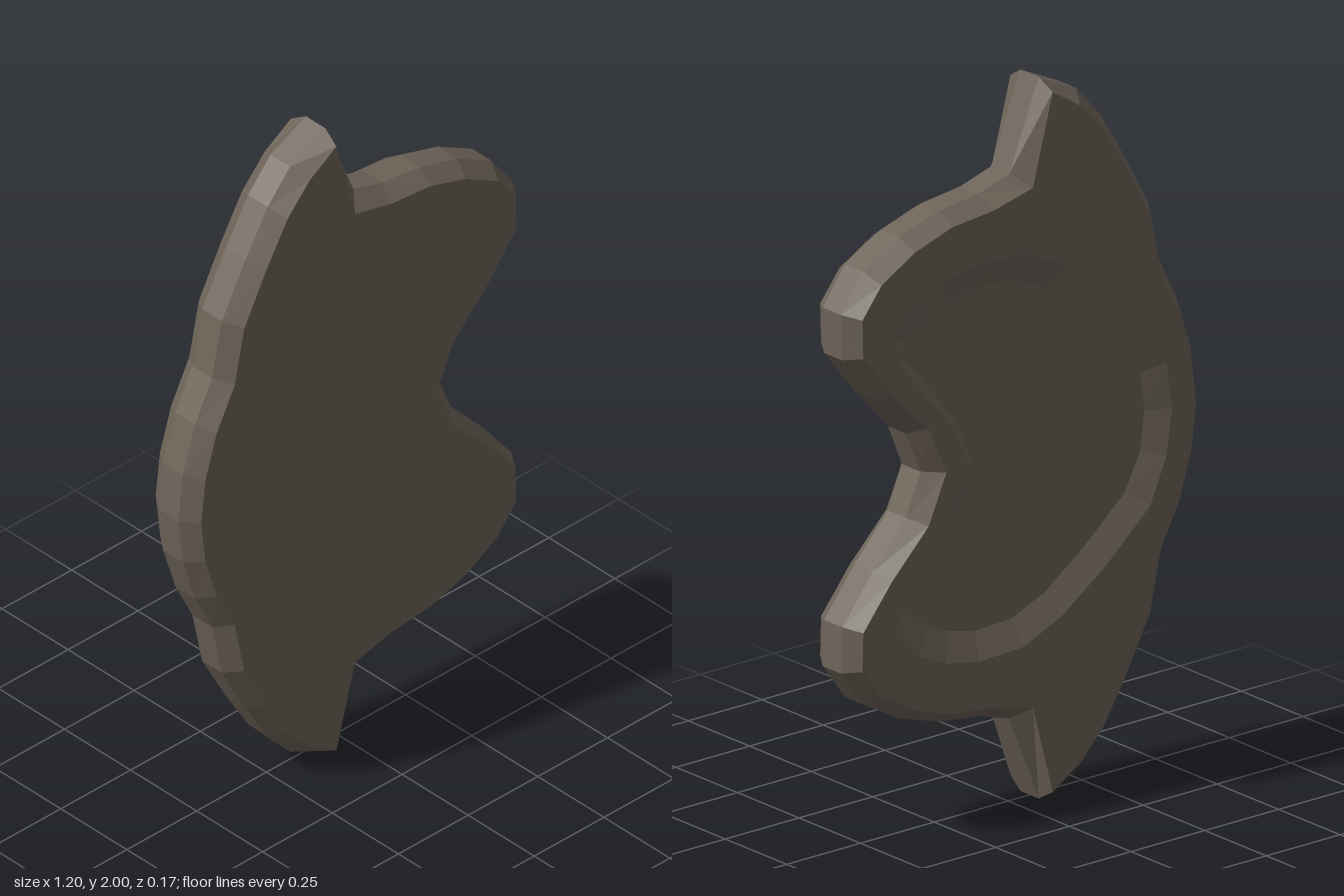
import * as THREE from 'three';

// Half outlines, from the notch (y = 1) over the top to the curved edge (y = 1)
const EDGE = [[0.328, 1], [0.376, 1.117], [0.49, 1.24], [0.592, 1.37], [0.597, 1.497], [0.522, 1.6],
  [0.4, 1.667], [0.265, 1.708], [0.13, 1.724], [0.027, 1.755], [-0.073, 2], [-0.2, 1.94],
  [-0.28, 1.85], [-0.36, 1.72], [-0.445, 1.565], [-0.48, 1.4], [-0.54, 1.28], [-0.585, 1.14], [-0.6, 1]];
const FACE = [[0.28, 1], [0.34, 1.135], [0.465, 1.26], [0.562, 1.38], [0.565, 1.487], [0.5, 1.57],
  [0.385, 1.635], [0.26, 1.675], [0.12, 1.688], [-0.013, 1.72], [-0.08, 1.97], [-0.175, 1.91],
  [-0.255, 1.825], [-0.33, 1.7], [-0.41, 1.55], [-0.445, 1.385], [-0.51, 1.26], [-0.55, 1.13], [-0.565, 1]];
const RIM = [[0.205, 1], [0.26, 1.12], [0.45, 1.35], [0.454, 1.41], [0.37, 1.49], [0.28, 1.53], [0.17, 1.55],
  [0.02, 1.545], [-0.11, 1.49], [-0.26, 1.385], [-0.41, 1.255], [-0.465, 1.13], [-0.485, 1]];
const FLOOR = [[0.17, 1], [0.22, 1.12], [0.4, 1.335], [0.385, 1.37], [0.325, 1.42], [0.25, 1.455], [0.16, 1.475],
  [0.035, 1.47], [-0.075, 1.425], [-0.215, 1.325], [-0.35, 1.21], [-0.4, 1.11], [-0.415, 1]];

// Full counter-clockwise loop: the half plus its mirror below y = 1
function loop(half) {
  const lower = half.slice(1, -1).reverse().map(([x, y]) => [x, 2 - y]);
  return [...half, ...lower].map(([x, y]) => new THREE.Vector2(x, y));
}

function toGeometry(positions) {
  const geometry = new THREE.BufferGeometry();
  geometry.setAttribute('position', new THREE.Float32BufferAttribute(positions, 3));
  geometry.computeVertexNormals();
  return geometry;
}

// Faceted band through successive [loop, z] rings
function band(rings) {
  const p = [];
  for (let r = 0; r < rings.length - 1; r++) {
    const [a, za] = rings[r], [b, zb] = rings[r + 1];
    for (let i = 0; i < a.length; i++) {
      const j = (i + 1) % a.length;
      const ai = [a[i].x, a[i].y, za], aj = [a[j].x, a[j].y, za];
      const bi = [b[i].x, b[i].y, zb], bj = [b[j].x, b[j].y, zb];
      p.push(...ai, ...bi, ...bj, ...ai, ...bj, ...aj);
    }
  }
  return toGeometry(p);
}

// Flat face at z, optionally with a hole, facing front or back
function flat(outline, z, back, hole) {
  const holes = hole ? [hole.slice().reverse()] : [];
  const points = [...outline, ...holes.flat()];
  const p = [];
  for (const t of THREE.ShapeUtils.triangulateShape(outline, holes)) {
    for (const k of back ? [t[0], t[2], t[1]] : t) p.push(points[k].x, points[k].y, z);
  }
  return toGeometry(p);
}

export function createModel() {
  const group = new THREE.Group();
  group.name = 'bevelledPlate';
  const material = new THREE.MeshStandardMaterial({ color: 0x6e6459 });
  material.name = 'stoneBrown';
  material.flatShading = true;

  const add = (name, geometry) => {
    const mesh = new THREE.Mesh(geometry, material);
    mesh.name = name;
    group.add(mesh);
  };

  const edge = loop(EDGE), face = loop(FACE), rim = loop(RIM), floor = loop(FLOOR);
  const Z = 0.086, MID = 0.037, DEEP = -0.056;

  // Plate body with a bevel on both sides
  add('frontFace', flat(face, Z, false));
  add('bevelledEdge', band([[face, Z], [edge, MID], [edge, -MID], [face, -Z]]));
  add('backFace', flat(face, -Z, true, rim));

  // Shallow sunken pocket in the back
  add('pocketWall', band([[rim, -Z], [floor, DEEP]]));
  add('pocketFloor', flat(floor, DEEP, true));
  return group;
}
